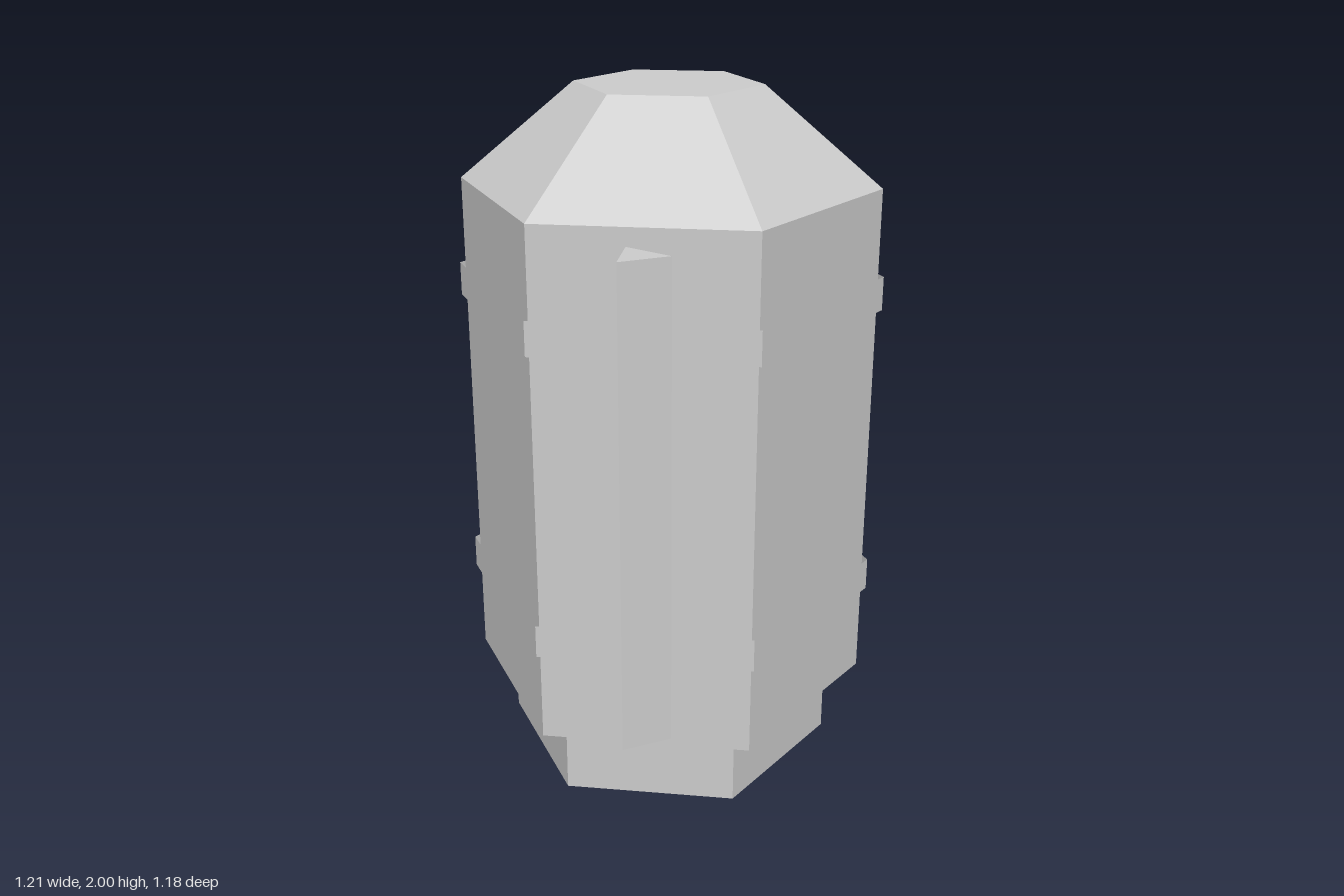
import * as THREE from 'three';

export function createModel() {
  const model = new THREE.Group();
  const grey = new THREE.MeshStandardMaterial({ color: 0xcccccc, flatShading: true, side: THREE.DoubleSide });
  grey.name = 'plain grey';

  const add = (name, geometry, z) => {
    const mesh = new THREE.Mesh(geometry, grey);
    mesh.name = name;
    mesh.position.z = z;
    model.add(mesh);
  };

  // Upright prism between two heights, turned so one corner points to +x
  const prism = (sides, radius, y0, y1, open = false) =>
    new THREE.CylinderGeometry(radius, radius, y1 - y0, sides, 1, open)
      .rotateY(Math.PI / 2)
      .translate(0, (y0 + y1) / 2, 0);

  const bodyZ = -0.065;

  // Narrow hexagonal foot
  add('base', prism(6, 0.491, 0, 0.23), bodyZ);

  // Hexagonal casing with a tapered, flat-topped roof
  const profile = [[0, 0.23], [0.591, 0.23], [0.591, 1.725], [0.262, 2], [0, 2]]
    .map(([r, y]) => new THREE.Vector2(r, y));
  add('casing', new THREE.LatheGeometry(profile, 6).rotateY(Math.PI / 2), bodyZ);

  // Thin open bands around the casing
  add('lowerBand', prism(6, 0.607, 0.497, 0.594, true), bodyZ);
  add('upperBand', prism(6, 0.607, 1.38, 1.477, true), bodyZ);

  // Three-sided rod standing against the front face
  add('frontRod', prism(3, 0.083, 0.3, 1.675), 0.519);

  return model;
}
